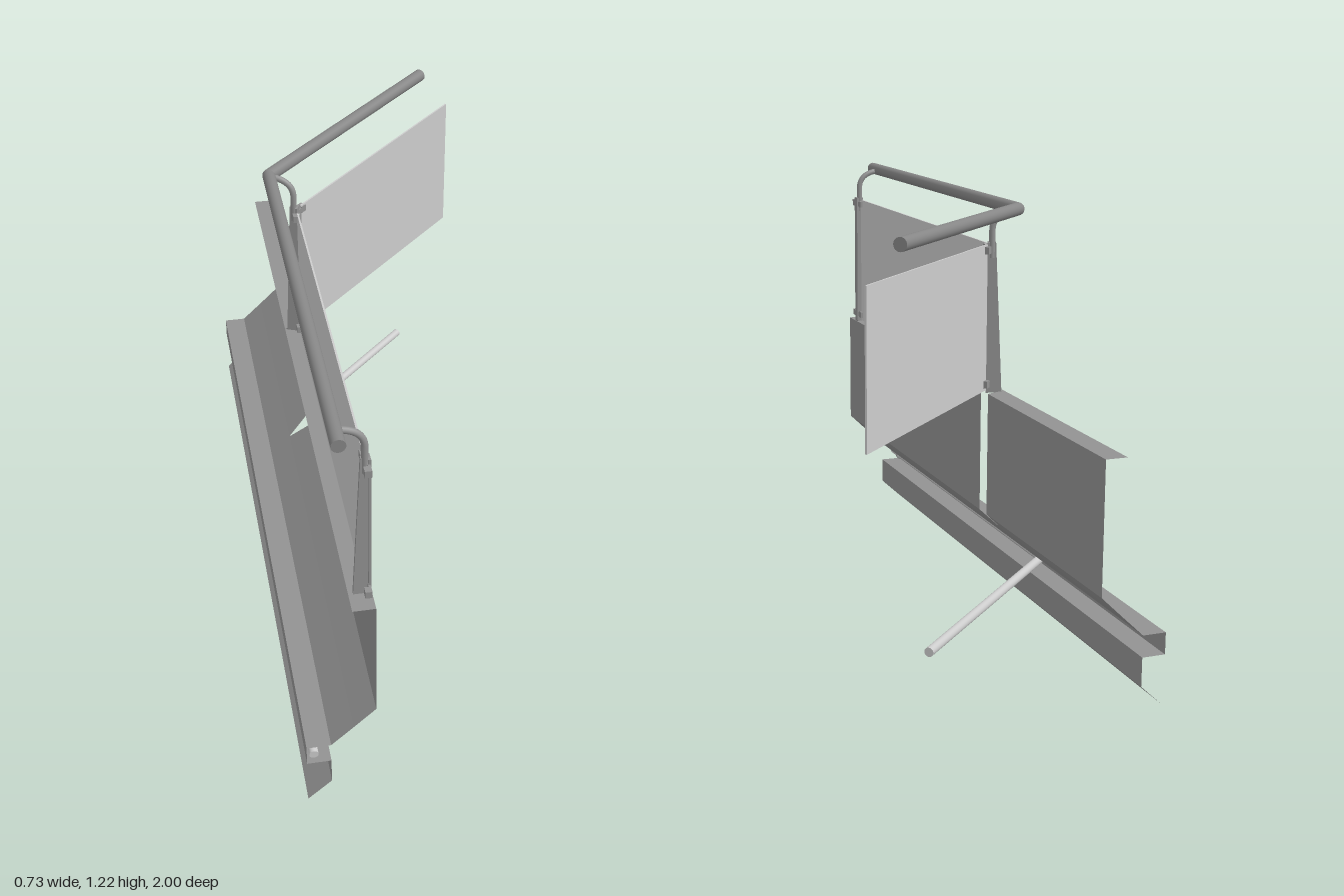
import * as THREE from 'three';

const sheetMat = new THREE.MeshStandardMaterial({ color: 0x929292, side: THREE.DoubleSide });
sheetMat.name = 'grey sheet metal';
const railMat = new THREE.MeshStandardMaterial({ color: 0x868686 });
railMat.name = 'dark grey rail';
const panelMat = new THREE.MeshStandardMaterial({ color: 0xcccccc });
panelMat.name = 'light grey panel';

const BEND = Math.PI / 8; // half of the 45 degree turn

function add(parent, geometry, material, name, x = 0, y = 0, z = 0) {
  const mesh = new THREE.Mesh(geometry, material);
  mesh.name = name;
  mesh.position.set(x, y, z);
  parent.add(mesh);
  return mesh;
}

// Folded sheet along z: profile points [x, y, half gap of the mitre notch]
function foldedSheet() {
  const profile = [
    [-0.24, 0.674, 0], [-0.18, 0.674, 0.026], [-0.18, 0.315, 0.026], [-0.24, 0.257, 0],
    [-0.30, 0.20, 0], [-0.365, 0.20, 0], [-0.365, 0.14, 0], [-0.30, 0.14, 0],
    [-0.30, 0.06, 0], [-0.365, 0, 0],
  ];
  const notchZ = -0.232;
  const pos = [];
  for (const end of [1, -1]) {
    for (let i = 0; i < profile.length - 1; i++) {
      const [x0, y0, g0] = profile[i];
      const [x1, y1, g1] = profile[i + 1];
      const a = [x0, y0, end], b = [x1, y1, end];
      const c = [x1, y1, notchZ + end * g1], d = [x0, y0, notchZ + end * g0];
      pos.push(...(end > 0 ? [a, b, c, a, c, d] : [a, c, b, a, d, c]).flat());
    }
  }
  const geo = new THREE.BufferGeometry();
  geo.setAttribute('position', new THREE.Float32BufferAttribute(pos, 3));
  geo.computeVertexNormals();
  return geo;
}

// Round bar through a list of points, with ball joints at the corners
function bentRail(name, points, radius, material) {
  const group = new THREE.Group();
  group.name = name;
  for (let i = 0; i < points.length - 1; i++) {
    const a = new THREE.Vector3(...points[i]);
    const b = new THREE.Vector3(...points[i + 1]);
    const dir = b.clone().sub(a);
    const bar = add(group, new THREE.CylinderGeometry(radius, radius, dir.length(), 24), material, name + 'Bar');
    bar.position.copy(a).add(b).multiplyScalar(0.5);
    bar.quaternion.setFromUnitVectors(new THREE.Vector3(0, 1, 0), dir.normalize());
    if (i > 0) add(group, new THREE.SphereGeometry(radius, 24, 16), material, name + 'Elbow', a.x, a.y, a.z);
  }
  return group;
}

// Post with tapered web, swan-neck tube and panel clamps
function post(name, x, z, turn) {
  const group = new THREE.Group();
  group.name = name;
  group.position.set(x, 0, z);
  group.rotation.y = -turn;

  add(group, new THREE.BoxGeometry(0.007, 0.435, 0.026), sheetMat, 'postFlange', -0.006, 0.8875, 0);

  const web = new THREE.Shape();
  web.moveTo(-0.048, 0.67);
  web.lineTo(-0.005, 0.67);
  web.lineTo(-0.005, 1.105);
  web.lineTo(-0.027, 1.105);
  web.closePath();
  add(group, new THREE.ExtrudeGeometry(web, { depth: 0.01, bevelEnabled: false }), sheetMat, 'postWeb', 0, 0, -0.005);

  const neck = new THREE.CurvePath();
  neck.add(new THREE.LineCurve3(new THREE.Vector3(-0.016, 1.06, 0), new THREE.Vector3(-0.016, 1.14, 0)));
  neck.add(new THREE.QuadraticBezierCurve3(
    new THREE.Vector3(-0.016, 1.14, 0), new THREE.Vector3(-0.018, 1.19, 0), new THREE.Vector3(-0.085, 1.195, 0)));
  add(group, new THREE.TubeGeometry(neck, 24, 0.009, 12), sheetMat, 'postNeck');

  for (const y of [0.70, 1.085]) {
    for (const side of [1, -1]) {
      const clamp = new THREE.Group();
      clamp.name = 'panelClamp';
      clamp.position.set(-0.014, y, 0);
      clamp.rotation.y = turn ? -side * -turn : 0;
      add(clamp, new THREE.BoxGeometry(0.006, 0.013, 0.042), sheetMat, 'clampArm', 0.006, 0, side * 0.021);
      add(clamp, new THREE.BoxGeometry(0.018, 0.02, 0.02), sheetMat, 'clampJaw', 0, 0, side * 0.032);
      group.add(clamp);
    }
  }
  return group;
}

export function createModel() {
  const model = new THREE.Group();
  model.name = 'guardRail';

  add(model, foldedSheet(), sheetMat, 'foldedSheet');

  // Hand rail on top and thin rail in the lower channel
  model.add(bentRail('handRail', [[-0.267, 1.198, 1], [-0.267, 1.198, -0.25], [0.283, 1.198, -0.8]], 0.0185, railMat));
  model.add(bentRail('lowerRail', [[-0.346, 0.173, 1], [-0.346, 0.173, -0.285], [0.227, 0.173, -0.858]], 0.0125, panelMat));

  // Lower rail bracket
  add(model, new THREE.BoxGeometry(0.004, 0.046, 0.012), sheetMat, 'railBracket', -0.362, 0.172, 0.935);
  add(model, new THREE.TorusGeometry(0.014, 0.003, 8, 24), sheetMat, 'railClip', -0.346, 0.173, 0.935);

  model.add(post('frontPost', -0.18, 0.935, 0));
  model.add(post('cornerPost', -0.187, -0.217, BEND));

  // Infill panels
  add(model, new THREE.BoxGeometry(0.005, 0.42, 1.1), panelMat, 'straightPanel', -0.195, 0.89, 0.36);
  const angled = add(model, new THREE.BoxGeometry(0.005, 0.42, 0.771), panelMat, 'angledPanel', 0.0915, 0.89, -0.5065);
  angled.rotation.y = -2 * BEND;

  return model;
}
